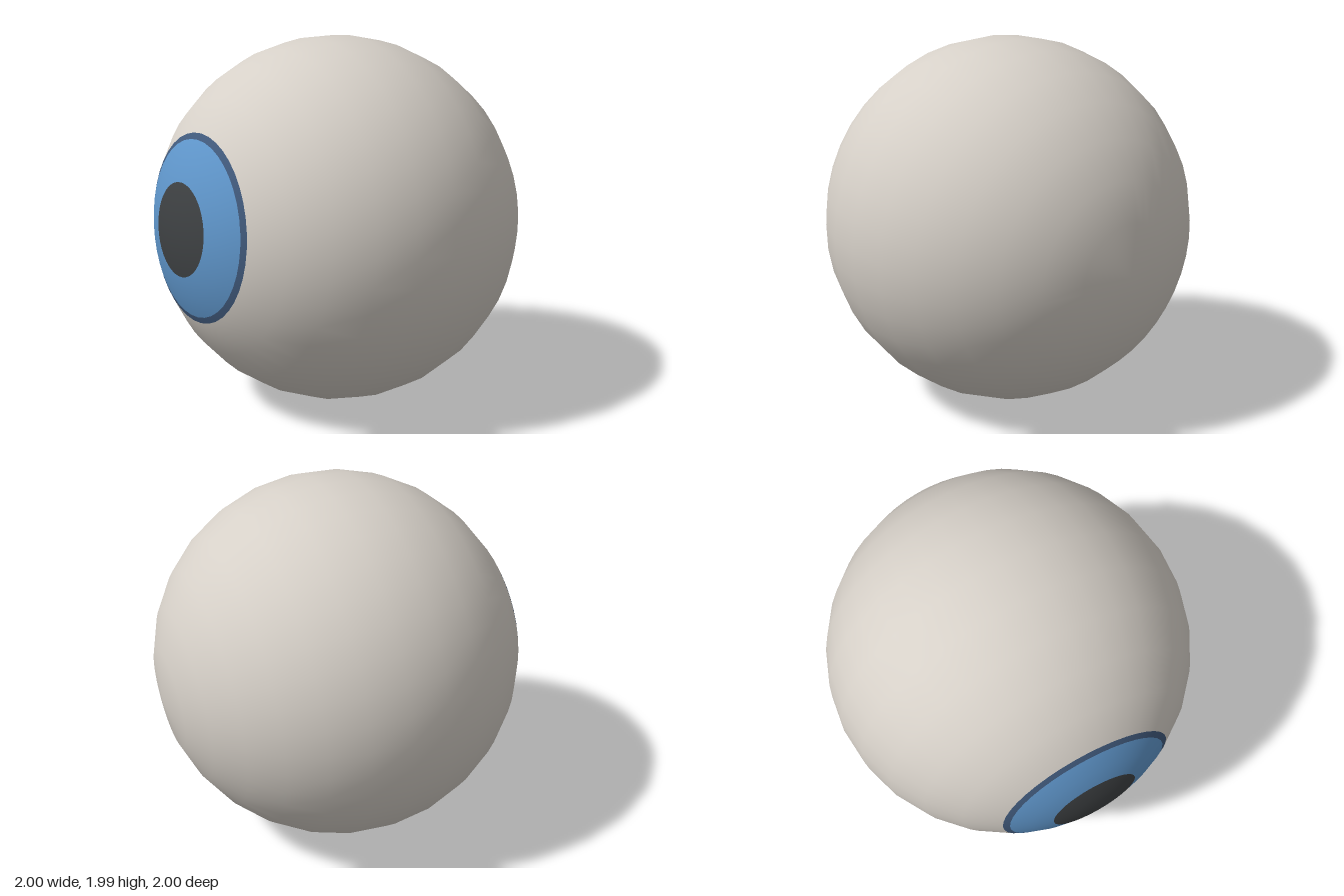
import * as THREE from 'three';

const mat = (name, color) => {
  const m = new THREE.MeshStandardMaterial({ color });
  m.name = name;
  return m;
};

// Band of a unit sphere around the gaze axis (+y), between two angles in degrees.
function band(from, to, steps, closeBack = false) {
  const points = [];
  const add = (deg) => {
    const a = THREE.MathUtils.degToRad(deg);
    points.push(new THREE.Vector2(Math.max(0, Math.sin(a)), Math.cos(a)));
  };
  if (closeBack) add(180);
  for (let i = steps; i >= 0; i--) add(from + (to - from) * i / steps);
  const geo = new THREE.LatheGeometry(points, 40);
  // Spherical normals keep the shading continuous between the bands
  const p = geo.attributes.position, n = geo.attributes.normal, v = new THREE.Vector3();
  for (let i = 0; i < p.count; i++) {
    v.fromBufferAttribute(p, i).normalize();
    n.setXYZ(i, v.x, v.y, v.z);
  }
  return geo;
}

export function createModel() {
  const eye = new THREE.Group();
  eye.name = 'eyeball';

  const parts = [
    ['pupil', band(0, 14.07, 2), mat('pupil black', 0x3e4143)],
    ['iris', band(14.07, 27.3, 2), mat('iris blue', 0x5f96cb)],
    ['irisRim', band(27.3, 29.4, 1), mat('rim navy', 0x415a7c)],
    ['eyeWhite', band(29.4, 164.2, 11, true), mat('eye white', 0xd6d0c8)],
  ];
  for (const [name, geo, material] of parts) {
    const mesh = new THREE.Mesh(geo, material);
    mesh.name = name;
    eye.add(mesh);
  }

  // Gaze forward and slightly upward
  eye.rotation.x = THREE.MathUtils.degToRad(90 - 4.28);
  eye.position.y = 1;

  const model = new THREE.Group();
  model.name = 'eye';
  model.add(eye);
  return model;
}
